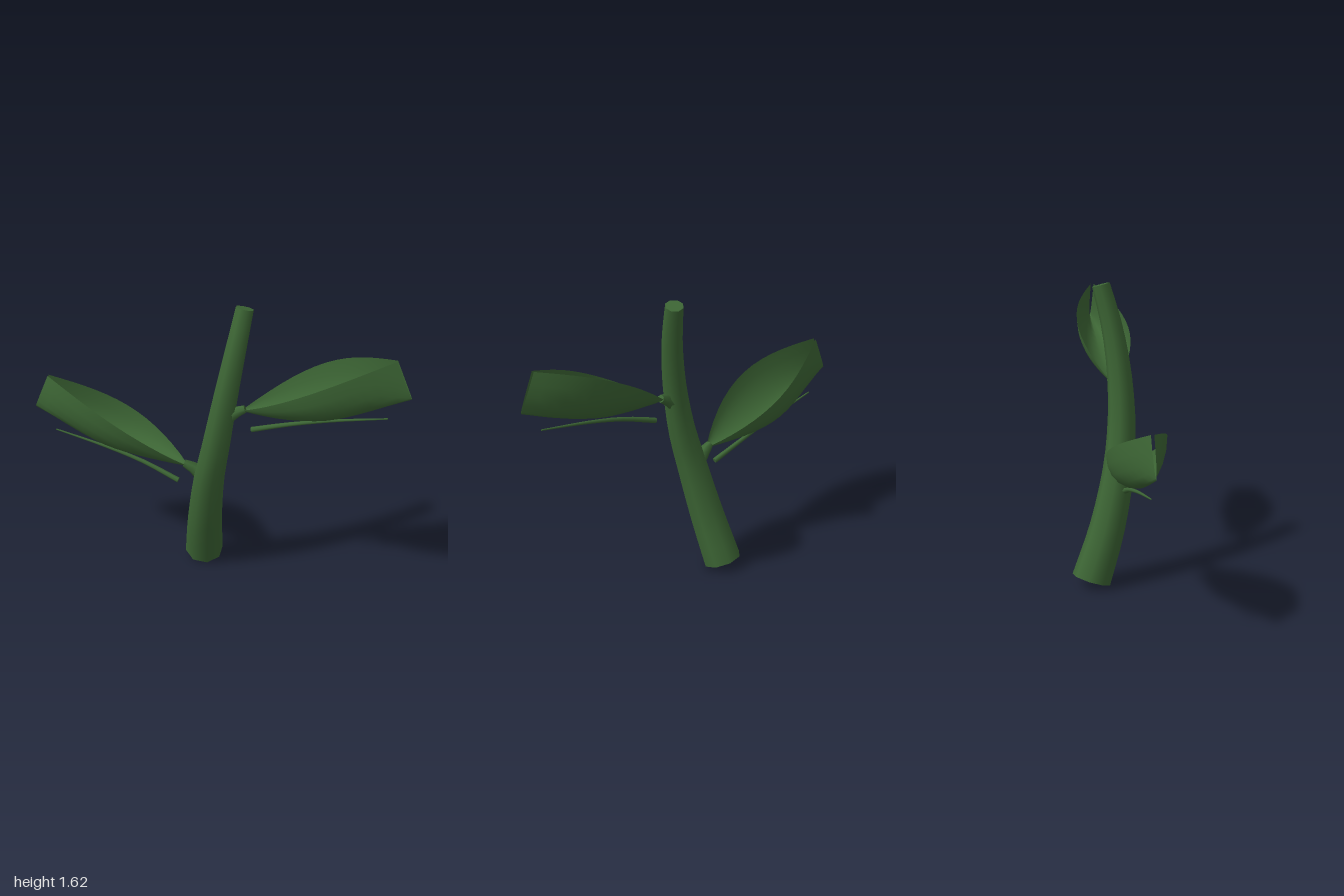
import * as THREE from 'three';

const V = (x, y, z) => new THREE.Vector3(x, y, z);
const curve = (pts) => new THREE.CatmullRomCurve3(pts.map((p) => V(...p)));

// Round rod along a path, tapering from r0 to r1, with flat end caps
function taperedRod(path, r0, r1, segments, sides) {
  const geo = new THREE.TubeGeometry(path, segments, 1, sides, false);
  const pos = geo.attributes.position;
  const row = sides + 1;
  for (let i = 0; i <= segments; i++) {
    const c = path.getPointAt(i / segments);
    const r = r0 + (r1 - r0) * (i / segments);
    for (let j = 0; j < row; j++) {
      const k = i * row + j;
      const p = V().fromBufferAttribute(pos, k).sub(c).multiplyScalar(r).add(c);
      pos.setXYZ(k, p.x, p.y, p.z);
    }
  }
  const caps = [];
  for (const i of [0, segments]) {
    const c = path.getPointAt(i / segments);
    for (let j = 0; j < sides; j++) {
      const a = V().fromBufferAttribute(pos, i * row + j);
      const b = V().fromBufferAttribute(pos, i * row + j + 1);
      const tangent = path.getTangentAt(i / segments).multiplyScalar(i ? 1 : -1);
      const facing = a.clone().sub(c).cross(b.clone().sub(c)).dot(tangent) > 0;
      caps.push(c, ...(facing ? [a, b] : [b, a]));
    }
  }
  const capGeo = new THREE.BufferGeometry().setFromPoints(caps);
  capGeo.computeVertexNormals();
  return [geo, capGeo];
}

// Trough-shaped leaf: two bowed rims over a rounded keel, pinched at both ends
function leafGeometry() {
  const rows = 14, cols = 10;
  const base = V(0.15, 1.05, -0.05), tip = V(0.92, 1.46, -0.305);
  const keel = curve([[0.15, 1.045, -0.05], [0.4, 1.06, -0.125], [0.6, 1.09, -0.19],
    [0.8, 1.165, -0.26], [1.0, 1.26, -0.335]]);
  const side = V(0.31, 0, 0.95);
  const points = [], index = [];
  for (let i = 0; i <= rows; i++) {
    const t = i / rows;
    const bow = Math.sin(Math.PI * t);
    const rim = base.clone().lerp(tip, t);
    rim.y += 0.045 * bow;
    const low = keel.getPoint(t);
    const width = 0.14 * Math.sin(Math.PI * Math.pow(t, 0.9)) + 0.008;
    for (let j = 0; j <= cols; j++) {
      const a = (j / cols - 0.5) * Math.PI;
      const p = rim.clone().lerp(low, Math.cos(a)).addScaledVector(side, width * Math.sin(a));
      p.y -= 0.025 * bow * Math.sin(a);
      points.push(p);
      if (i < rows && j < cols) {
        const k = i * (cols + 1) + j, n = k + cols + 1;
        index.push(k, n, k + 1, n, n + 1, k + 1);
      }
    }
  }
  const geo = new THREE.BufferGeometry().setFromPoints(points);
  geo.setIndex(index);
  geo.computeVertexNormals();
  return geo;
}

export function createModel() {
  const green = new THREE.MeshStandardMaterial({ color: 0x3d6635, side: THREE.DoubleSide });
  green.name = 'leafGreen';
  const model = new THREE.Group();
  model.name = 'twig';

  const add = (parent, name, ...geos) => {
    const part = new THREE.Group();
    part.name = name;
    geos.forEach((g) => {
      const mesh = new THREE.Mesh(g, green);
      mesh.name = name;
      part.add(mesh);
    });
    parent.add(part);
  };

  // Curved main stem
  const stemPath = curve([[-0.17, 0.03, -0.125], [-0.105, 0.3, -0.05], [-0.035, 0.6, 0],
    [0.015, 0.8, 0.01], [0.052, 1.0, 0.003], [0.08, 1.2, -0.02], [0.1, 1.4, -0.06], [0.11, 1.597, -0.115]]);
  add(model, 'stem', ...taperedRod(stemPath, 0.107, 0.049, 16, 8));

  // Each leaf has a bud at its base and a thin stalk below it
  const leaf = leafGeometry();
  const bud = taperedRod(curve([[0.09, 1.01, -0.015], [0.13, 1.04, -0.035], [0.165, 1.058, -0.055]]), 0.042, 0.022, 2, 6);
  const stalk = taperedRod(curve([[0.2, 0.943, -0.065], [0.4, 1.015, -0.12],
    [0.6, 1.07, -0.19], [0.89, 1.132, -0.295]]), 0.015, 0.004, 10, 6);

  ['leftLeaf', 'rightLeaf'].forEach((name, i) => {
    const branch = new THREE.Group();
    branch.name = name + 'Branch';
    add(branch, name, leaf);
    add(branch, name + 'Bud', ...bud);
    add(branch, name + 'Stalk', ...stalk);
    // The second branch is turned half way round the stem and sits lower
    branch.rotation.y = i * Math.PI;
    branch.position.y = i * -0.39;
    model.add(branch);
  });
  return model;
}
